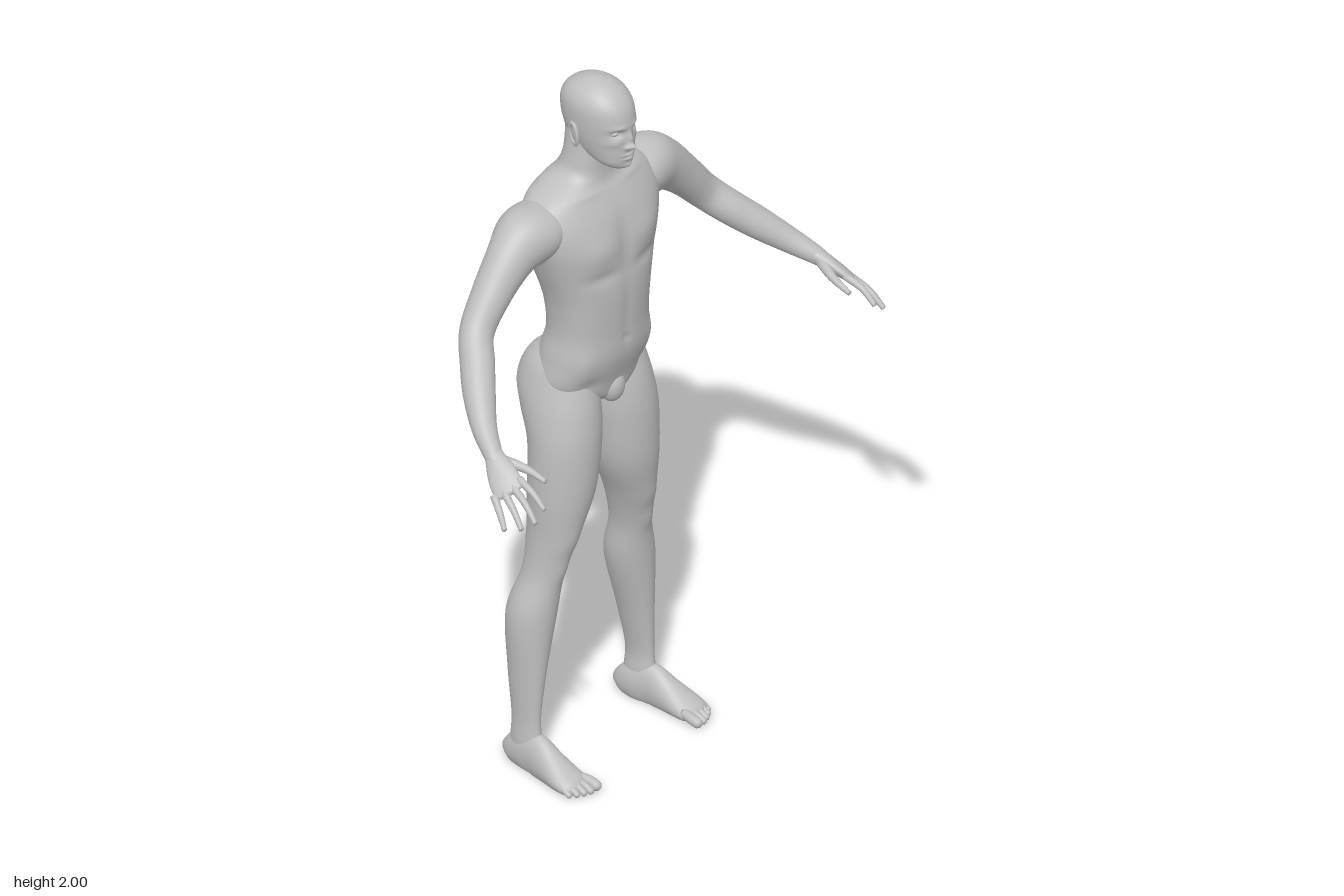
import * as THREE from 'three';

const skin = new THREE.MeshStandardMaterial({ color: 0xbfbfbf });
skin.name = 'skin';

// Smooth interpolation between rows of numbers
function blend(rows, t) {
  const last = rows.length - 1;
  const i = Math.min(Math.floor(t), last - 1), f = t - i;
  const a = rows[Math.max(i - 1, 0)], b = rows[i], c = rows[i + 1], d = rows[Math.min(i + 2, last)];
  return b.map((_, k) => b[k] + 0.5 * f * (c[k] - a[k] + f * (2 * a[k] - 5 * b[k] + 4 * c[k] - d[k]
    + f * (3 * (b[k] - c[k]) + d[k] - a[k]))));
}

// Gaussian muscles and hollows: [x, y, width, height, amount, side], mirrored in x, side +1 front, -1 back
function sculpt(p, facing, bumps) {
  let dz = 0;
  for (const [x, y, w, h, amount, side] of bumps) {
    const g = Math.exp(-(((Math.abs(p.x) - x) / w) ** 2) - ((p.y - y) / h) ** 2);
    dz += side * amount * g * THREE.MathUtils.clamp(side * facing * 2.5, 0, 1);
  }
  p.z += dz;
}

// Closed skin over rows [x, y, z, ru, rv]; rings lie flat unless a ref axis turns them across the path
function loft(rows, { ref = null, segs = 40, steps = 6, power = 1, bumps = [], floor = -1 } = {}) {
  const rings = (rows.length - 1) * steps, pos = [], index = [];
  const at = (t) => new THREE.Vector3(...blend(rows, THREE.MathUtils.clamp(t, 0, rows.length - 1)));
  const soft = (v) => Math.sign(v) * Math.abs(v) ** power;
  for (let i = 0; i <= rings; i++) {
    const s = i / steps, [x, y, z, ru, rv] = blend(rows, s);
    let u = new THREE.Vector3(0, 0, 1), v = new THREE.Vector3(1, 0, 0);
    if (ref) {
      const t = at(s + 0.1).sub(at(s - 0.1)).normalize();
      u = ref.clone().addScaledVector(t, -ref.dot(t)).normalize();
      v = t.clone().cross(u);
    }
    for (let j = 0; j < segs; j++) {
      const a = j / segs * Math.PI * 2, c = Math.cos(a);
      const p = new THREE.Vector3(x, y, z).addScaledVector(u, ru * soft(c)).addScaledVector(v, rv * soft(Math.sin(a)));
      sculpt(p, c, bumps);
      p.y = Math.max(p.y, floor);
      pos.push(p.x, p.y, p.z);
      if (i < rings) {
        const k = i * segs + j, n = i * segs + (j + 1) % segs;
        index.push(k, n, k + segs, n, n + segs, k + segs);
      }
    }
  }
  const first = pos.length / 3, top = rings * segs;
  pos.push(...rows[0].slice(0, 3), ...rows[rows.length - 1].slice(0, 3));
  for (let j = 0; j < segs; j++) {
    const n = (j + 1) % segs;
    index.push(first, n, j, first + 1, top + j, top + n);
  }
  const geo = new THREE.BufferGeometry();
  geo.setAttribute('position', new THREE.Float32BufferAttribute(pos, 3));
  geo.setIndex(index);
  geo.computeVertexNormals();
  return geo;
}

// Finger or toe: tapered tube with a rounded tip
function digit(points, r0, r1, ref) {
  const n = points.length - 1;
  const rows = points.map((p, i) => { const r = r0 + (r1 - r0) * i / n; return [...p, r, r]; });
  const tip = new THREE.Vector3(...points[n]);
  const dir = tip.clone().sub(new THREE.Vector3(...points[n - 1])).normalize();
  for (const [d, s] of [[0.5, 0.86], [0.85, 0.5], [1, 0.08]]) {
    rows.push([...tip.clone().addScaledVector(dir, d * r1).toArray(), r1 * s, r1 * s]);
  }
  return loft(rows, { ref, segs: 14, steps: 3 });
}

function ellipsoid(x, y, z, rx, ry, rz) {
  return new THREE.SphereGeometry(1, 28, 20).scale(rx, ry, rz).translate(x, y, z);
}

function mirrored(geo) {
  const g = geo.clone().scale(-1, 1, 1), ix = g.index.array;
  for (let i = 0; i < ix.length; i += 3) [ix[i], ix[i + 1]] = [ix[i + 1], ix[i]];
  g.computeVertexNormals();
  return g;
}

// Flat row from height, centre x, half width, front z and back z
const flat = ([y, x, rx, zf, zb]) => [x, y, (zf + zb) / 2, (zf - zb) / 2, rx];

export function createModel() {
  const model = new THREE.Group();
  model.name = 'human figure';
  const add = (name, geo) => {
    const mesh = new THREE.Mesh(geo, skin);
    mesh.name = name;
    model.add(mesh);
  };
  const pair = (name, geo) => { add('left ' + name, geo); add('right ' + name, mirrored(geo)); };

  // Torso and neck
  add('torso', loft([
    [1.04, 0, 0.03, -0.08, -0.17], [1.07, 0, 0.10, -0.05, -0.21], [1.12, 0, 0.165, -0.037, -0.235],
    [1.20, 0, 0.163, -0.014, -0.232], [1.28, 0, 0.152, -0.01, -0.212], [1.36, 0, 0.157, -0.006, -0.217],
    [1.42, 0, 0.17, -0.006, -0.228], [1.50, 0, 0.197, -0.012, -0.243], [1.57, 0, 0.22, -0.02, -0.252],
    [1.62, 0, 0.222, -0.032, -0.254], [1.67, 0, 0.2, -0.055, -0.248], [1.70, 0, 0.15, -0.072, -0.235],
    [1.73, 0, 0.088, -0.078, -0.215], [1.78, 0, 0.07, -0.078, -0.198], [1.86, 0, 0.06, -0.08, -0.195],
  ].map(flat), {
    segs: 96, steps: 8, power: 0.87, bumps: [
      [0.09, 1.54, 0.065, 0.05, 0.012, 1], [0, 1.54, 0.018, 0.08, -0.006, 1], // chest
      [0.08, 1.462, 0.05, 0.018, -0.006, 1], [0.1, 1.69, 0.06, 0.01, 0.005, 1], // ribs, collarbones
      [0, 1.34, 0.014, 0.1, -0.004, 1], [0, 1.25, 0.009, 0.009, -0.007, 1], // belly line, navel
      [0.13, 1.2, 0.03, 0.04, 0.006, 1], [0.1, 1.13, 0.03, 0.02, -0.006, 1], // hips, groin
      [0, 1.4, 0.022, 0.2, -0.014, -1], [0.11, 1.58, 0.055, 0.07, 0.01, -1], // spine, shoulder blades
      [0.05, 1.3, 0.03, 0.08, 0.006, -1], // lower back
    ],
  }));
  add('groin', ellipsoid(0, 1.088, -0.062, 0.036, 0.048, 0.033));

  // Head with a sculpted face
  add('head', loft([
    [1.762, 0, 0.012, -0.03, -0.06], [1.768, 0, 0.03, -0.013, -0.08], [1.785, 0, 0.049, -0.005, -0.12],
    [1.81, 0, 0.060, -0.002, -0.165], [1.835, 0, 0.067, -0.002, -0.19], [1.86, 0, 0.072, -0.002, -0.205],
    [1.90, 0, 0.076, -0.002, -0.215], [1.94, 0, 0.075, -0.012, -0.213], [1.97, 0, 0.062, -0.035, -0.194],
    [1.99, 0, 0.038, -0.065, -0.160], [1.998, 0, 0.015, -0.093, -0.130], [2.0, 0, 0.002, -0.108, -0.114],
  ].map(flat), {
    segs: 120, steps: 9, power: 0.94, bumps: [
      [0.032, 1.877, 0.015, 0.010, -0.013, 1], [0.03, 1.894, 0.02, 0.006, 0.004, 1], // sockets, brows
      [0, 1.836, 0.009, 0.009, 0.018, 1], [0, 1.858, 0.008, 0.018, 0.011, 1], // nose
      [0.012, 1.833, 0.006, 0.006, 0.007, 1], [0.046, 1.85, 0.015, 0.012, 0.004, 1], // nostrils, cheeks
      [0, 1.810, 0.018, 0.004, 0.006, 1], [0, 1.798, 0.015, 0.005, 0.006, 1], // lips
      [0, 1.804, 0.022, 0.002, -0.003, 1], [0, 1.775, 0.016, 0.009, 0.006, 1], // mouth, chin
    ],
  }));
  pair('eye', ellipsoid(0.031, 1.877, -0.028, 0.013, 0.009, 0.012));
  const ear = ellipsoid(0, 0, 0, 0.007, 0.03, 0.017);
  const rim = new THREE.TorusGeometry(0.017, 0.0045, 10, 28).rotateY(Math.PI / 2).scale(1, 1.7, 1).translate(0.005, 0, 0);
  for (const [name, geo] of [['ear', ear], ['ear rim', rim]]) {
    pair(name, geo.rotateY(0.3).rotateX(-0.15).translate(0.081, 1.865, -0.115));
  }

  // Arms
  pair('arm', loft([
    [0.12, 1.61, -0.16, 0.07, 0.06], [0.19, 1.612, -0.155, 0.086, 0.074], [0.245, 1.603, -0.152, 0.079, 0.082],
    [0.30, 1.573, -0.148, 0.062, 0.067], [0.37, 1.508, -0.145, 0.052, 0.054], [0.44, 1.43, -0.135, 0.045, 0.047],
    [0.49, 1.375, -0.09, 0.045, 0.045], [0.54, 1.325, -0.04, 0.042, 0.042], [0.59, 1.275, 0.02, 0.033, 0.034],
    [0.625, 1.238, 0.08, 0.025, 0.025], [0.637, 1.222, 0.105, 0.02, 0.02],
  ], { ref: new THREE.Vector3(0, 0, 1) }));

  // Hands
  const across = new THREE.Vector3(0.055, -0.04, -0.04).normalize();
  pair('palm', loft([
    [0.615, 1.247, 0.065, 0.021, 0.018], [0.628, 1.234, 0.088, 0.026, 0.021], [0.645, 1.212, 0.125, 0.038, 0.018],
    [0.66, 1.19, 0.158, 0.042, 0.014], [0.667, 1.18, 0.175, 0.036, 0.01], [0.669, 1.177, 0.18, 0.01, 0.003],
  ], { ref: across }));
  const fingers = {
    'index finger': [[0.635, 1.207, 0.175], [0.64, 1.188, 0.228], [0.641, 1.157, 0.265]],
    'middle finger': [[0.654, 1.194, 0.17], [0.667, 1.169, 0.225], [0.675, 1.132, 0.265]],
    'ring finger': [[0.673, 1.18, 0.158], [0.69, 1.151, 0.207], [0.70, 1.115, 0.24]],
    'little finger': [[0.689, 1.167, 0.14], [0.708, 1.136, 0.177], [0.719, 1.106, 0.2]],
    'thumb': [[0.622, 1.228, 0.105], [0.597, 1.216, 0.165], [0.59, 1.2, 0.223]],
  };
  for (const [name, path] of Object.entries(fingers)) {
    const thick = name === 'thumb' ? 0.016 : 0.011;
    pair(name, digit(path, thick, 0.007, across));
  }

  // Legs, from ankle to buttock
  pair('leg', loft([
    [0.03, 0.219, 0.026, -0.12, -0.21], [0.08, 0.22, 0.028, -0.11, -0.208], [0.15, 0.22, 0.025, -0.115, -0.205],
    [0.28, 0.21, 0.040, -0.11, -0.222], [0.45, 0.19, 0.064, -0.10, -0.236], [0.57, 0.169, 0.05, -0.088, -0.207],
    [0.68, 0.149, 0.059, -0.06, -0.206], [0.81, 0.123, 0.087, -0.036, -0.215], [0.95, 0.110, 0.096, -0.03, -0.222],
    [1.04, 0.101, 0.097, -0.037, -0.257], [1.11, 0.094, 0.091, -0.052, -0.276], [1.18, 0.085, 0.078, -0.075, -0.252],
    [1.23, 0.075, 0.05, -0.1, -0.2],
  ].map(flat), {
    segs: 56, bumps: [
      [0.165, 0.59, 0.025, 0.03, 0.006, 1], [0.15, 0.68, 0.04, 0.03, 0.004, 1], // kneecap, thigh end
      [0.167, 0.58, 0.02, 0.04, -0.005, -1], [0.19, 0.44, 0.01, 0.06, -0.004, -1], // knee hollow, calf split
    ],
  }));

  // Feet: rows of x, height, z, half width, flattened on the ground
  pair('foot', loft([
    [0.215, 0.03, -0.224, 0.008], [0.215, 0.06, -0.212, 0.026], [0.217, 0.1, -0.17, 0.034], [0.222, 0.11, -0.12, 0.034],
    [0.227, 0.084, -0.07, 0.040], [0.231, 0.056, -0.02, 0.047], [0.232, 0.037, 0.015, 0.045], [0.232, 0.02, 0.03, 0.03],
  ].map(([x, h, z, w]) => [x, h * 0.4, z, w, h * 0.6]), { ref: new THREE.Vector3(1, 0, 0), floor: 0 }));
  const toeTips = [[0.196, 0.056, 0.014], [0.219, 0.057, 0.0095], [0.237, 0.05, 0.009], [0.254, 0.041, 0.0085], [0.27, 0.028, 0.008]];
  toeTips.forEach(([x, z, r], i) => {
    const root = [0.232 + (x - 0.232) * 0.85, 0.022, z - 0.05];
    pair('toe ' + (i + 1), digit([root, [x, 0.02, z - 0.022], [x, r + 0.001, z]], r, r, new THREE.Vector3(1, 0, 0)));
  });
  return model;
}
